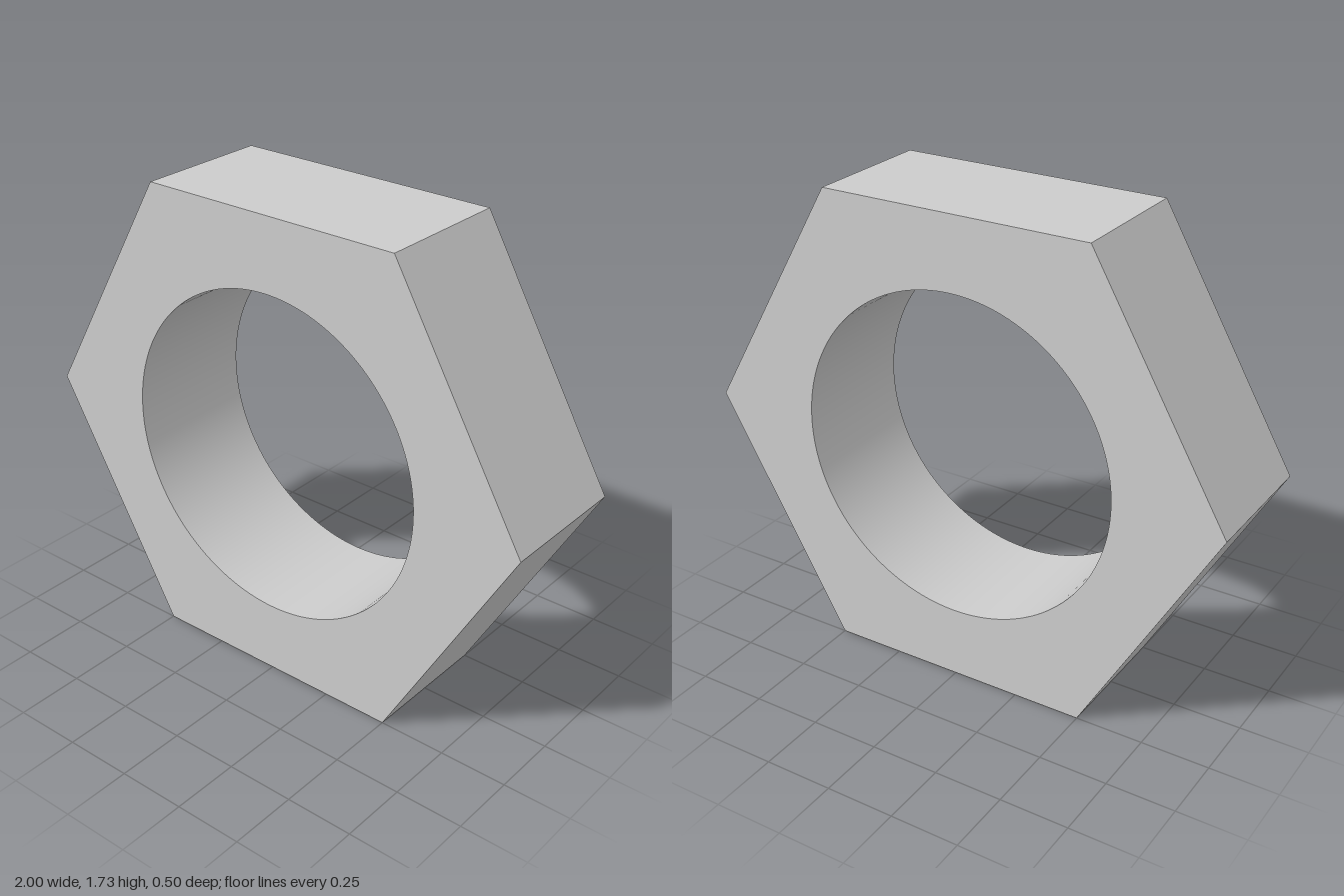
import * as THREE from 'three';
import { toCreasedNormals } from 'three/addons/utils/BufferGeometryUtils.js';

const RADIUS = 1;        // centre to corner
const HOLE_RADIUS = 0.6;
const DEPTH = 0.5;

export function createModel() {
  const group = new THREE.Group();
  group.name = 'hexNut';

  // Hexagonal outline with corners at left and right
  const corners = [];
  for (let i = 0; i < 6; i++) {
    const a = (i * Math.PI) / 3;
    corners.push(new THREE.Vector2(RADIUS * Math.cos(a), RADIUS * Math.sin(a)));
  }
  const outline = new THREE.Shape(corners);

  // Round through hole
  const hole = new THREE.Path();
  hole.absarc(0, 0, HOLE_RADIUS, 0, Math.PI * 2, true);
  outline.holes.push(hole);

  // Nut body: smooth bore, sharp outer edges
  const extruded = new THREE.ExtrudeGeometry(outline, {
    depth: DEPTH, bevelEnabled: false, curveSegments: 96,
  });
  extruded.translate(0, RADIUS * Math.sin(Math.PI / 3), -DEPTH / 2);
  const body = new THREE.Mesh(
    toCreasedNormals(extruded, 0.5),
    new THREE.MeshStandardMaterial({ color: 0xcccccc }),
  );
  body.name = 'nutBody';
  group.add(body);
  return group;
}
